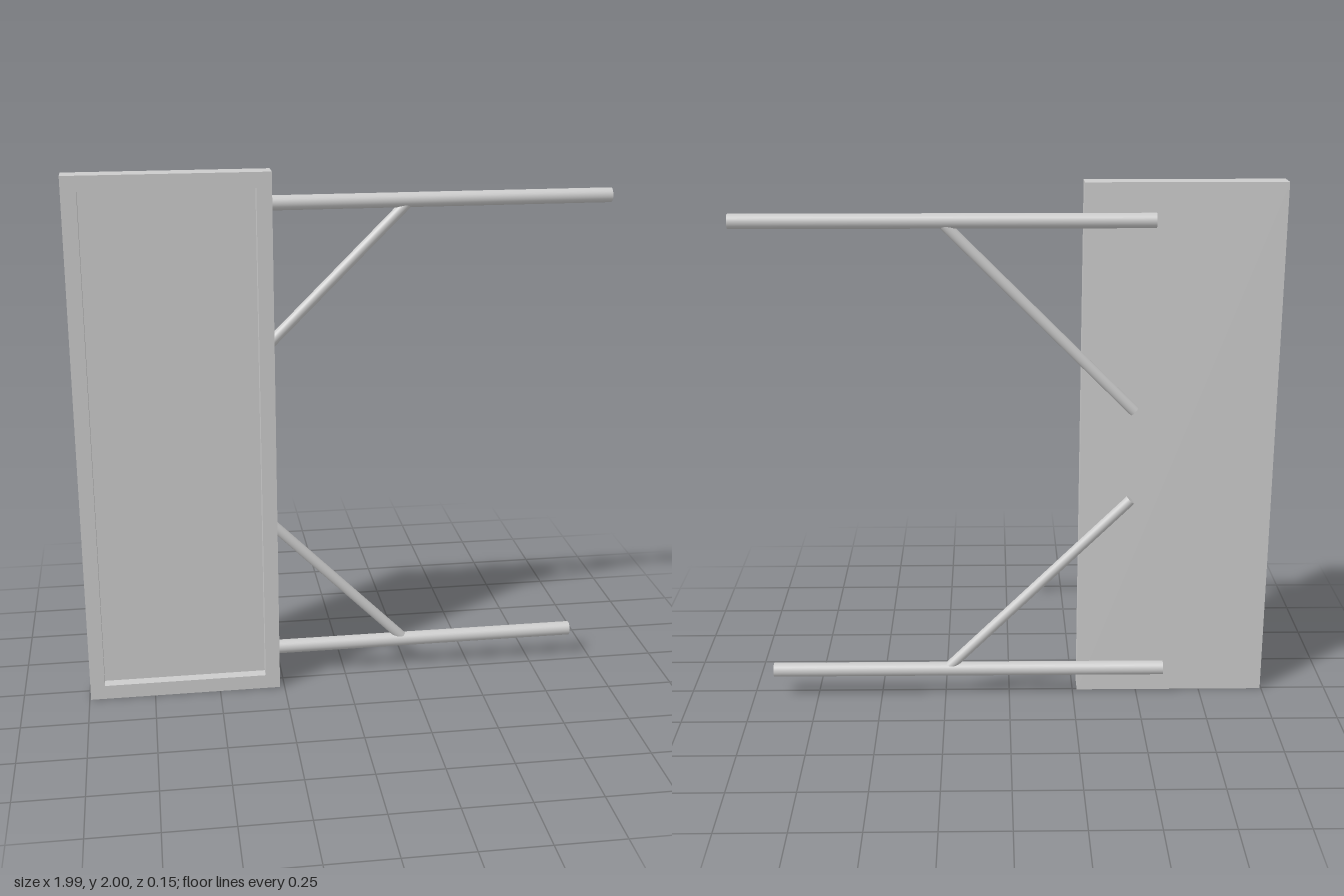
import * as THREE from 'three';

export function createModel() {
  const model = new THREE.Group();
  const material = new THREE.MeshStandardMaterial({ color: 0xcccccc });

  const add = (name, geometry) => {
    const mesh = new THREE.Mesh(geometry, material);
    mesh.name = name;
    model.add(mesh);
    return mesh;
  };

  // Panel: a raised rim around a flat backing board
  const left = -0.995, right = -0.268, height = 2, rim = 0.055;
  const back = -0.007, front = 0.073, recess = 0.042;
  const floor = front - recess;
  const rect = (path, x0, y0, x1, y1) =>
    path.moveTo(x0, y0).lineTo(x1, y0).lineTo(x1, y1).lineTo(x0, y1).closePath();

  const frame = new THREE.Shape();
  rect(frame, left, 0, right, height);
  const opening = new THREE.Path();
  rect(opening, left + rim, rim, right - rim, height - rim);
  frame.holes.push(opening);
  add('panelFrame', new THREE.ExtrudeGeometry(frame, { depth: recess, bevelEnabled: false }))
    .position.z = floor;

  add('panelBoard', new THREE.BoxGeometry(right - left, height, floor - back))
    .position.set((left + right) / 2, height / 2, (floor + back) / 2);

  // Round bar between two points in the plane behind the panel
  const barZ = -0.046;
  const bar = (name, x0, y0, x1, y1, radius) => {
    const a = new THREE.Vector3(x0, y0, barZ), b = new THREE.Vector3(x1, y1, barZ);
    const mesh = add(name, new THREE.CylinderGeometry(radius, radius, a.distanceTo(b), 32));
    mesh.position.copy(a).add(b).divideScalar(2);
    mesh.quaternion.setFromUnitVectors(new THREE.Vector3(0, 1, 0), b.sub(a).normalize());
  };

  // Horizontal support arms
  bar('upperArm', -0.522, 1.871, 0.995, 1.871, 0.027);
  bar('lowerArm', -0.6, 0.115, 0.918, 0.115, 0.027);

  // Diagonal braces from the panel back to the arms
  bar('upperBrace', -0.462, 1.165, 0.244, 1.871, 0.02);
  bar('lowerBrace', -0.457, 0.816, 0.244, 0.115, 0.02);

  return model;
}
